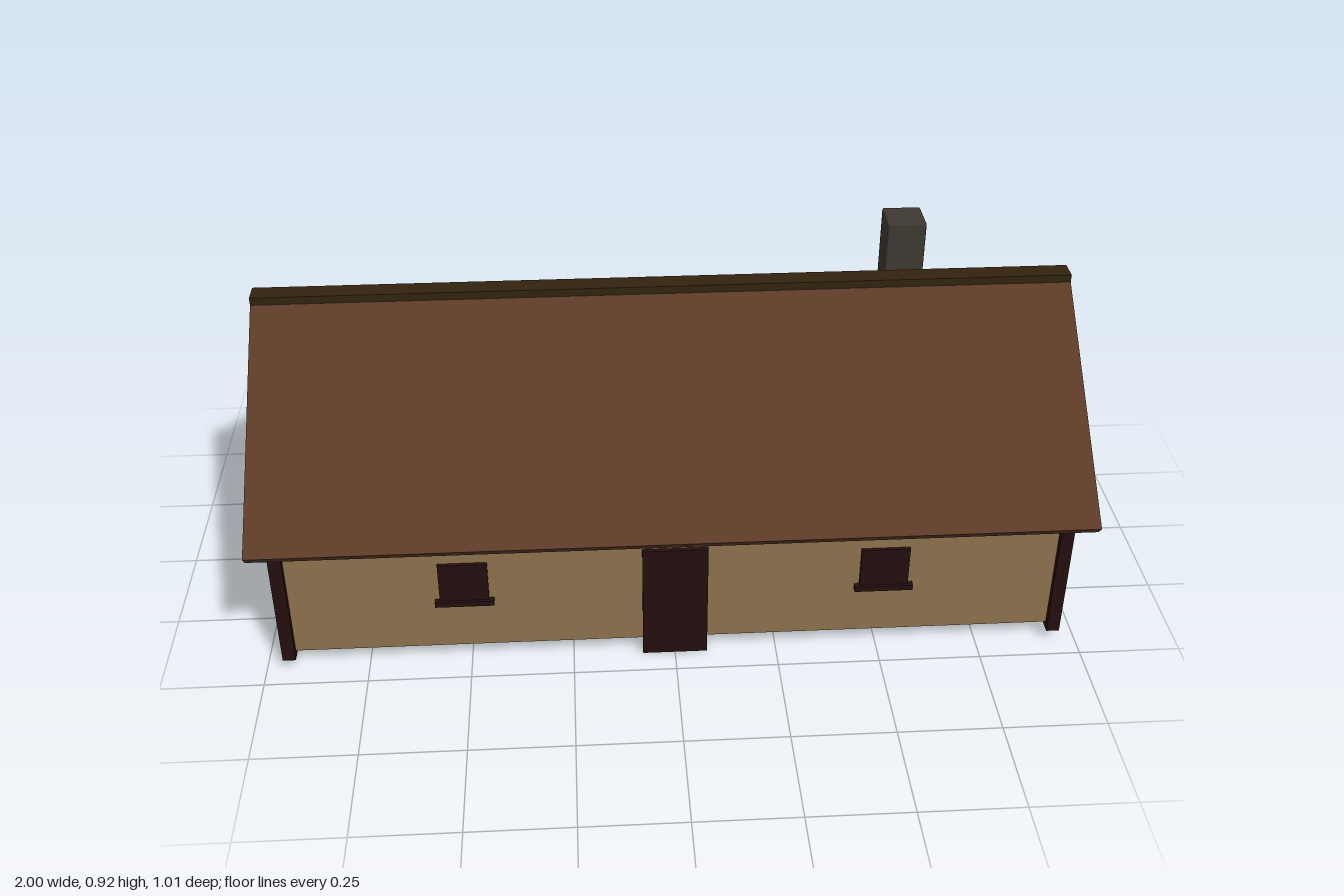
import * as THREE from 'three';
import { RoundedBoxGeometry } from 'three/addons/geometries/RoundedBoxGeometry.js';

const material = (name, color) => {
  const m = new THREE.MeshStandardMaterial({ color });
  m.name = name;
  return m;
};

export function createModel() {
  const house = new THREE.Group();
  house.name = 'house';
  const plaster = material('tan plaster', 0x8d734e);
  const roofing = material('brown roofing', 0x5c3a27);
  const ridgeWood = material('dark ridge wood', 0x32230f);
  const darkWood = material('dark red wood', 0x250e0f);
  const stone = material('grey stone', 0x3e3932);

  const add = (name, geometry, mat, x = 0, y = 0, z = 0) => {
    const mesh = new THREE.Mesh(geometry, mat);
    mesh.name = name;
    mesh.position.set(x, y, z);
    house.add(mesh);
    return mesh;
  };
  // Box given by its lower and upper corners
  const box = (name, mat, [x0, y0, z0], [x1, y1, z1]) =>
    add(name, new THREE.BoxGeometry(x1 - x0, y1 - y0, z1 - z0), mat,
      (x0 + x1) / 2, (y0 + y1) / 2, (z0 + z1) / 2);

  const halfX = 0.944, halfZ = 0.427;

  // Walls and the gabled attic above them
  box('walls', plaster, [-halfX, 0.042, -halfZ], [halfX, 0.362, halfZ]);
  const gable = new THREE.Shape([
    new THREE.Vector2(-halfZ, 0.355),
    new THREE.Vector2(halfZ, 0.355),
    new THREE.Vector2(0, 0.72),
  ]);
  const attic = new THREE.ExtrudeGeometry(gable, { depth: 2 * halfX, bevelEnabled: false });
  attic.translate(0, 0, -halfX).rotateY(Math.PI / 2);
  add('gables', attic, plaster);

  // Corner posts
  for (const sx of [-1, 1]) {
    for (const sz of [-1, 1]) {
      add('cornerPost', new THREE.BoxGeometry(0.032, 0.345, 0.032), darkWood,
        sx * halfX, 0.1975, sz * halfZ);
    }
  }

  // Two sloping roof panels, meeting along their inner edges
  const pitch = Math.atan2(0.406, 0.485), length = Math.hypot(0.406, 0.485), thick = 0.03;
  for (const side of [-1, 1]) {
    const panel = add('roofPanel', new THREE.BoxGeometry(2, thick, length), roofing, 0,
      0.565 + Math.cos(pitch) * thick / 2,
      side * (0.2425 + Math.sin(pitch) * thick / 2));
    panel.rotation.x = side * pitch;
  }
  box('ridgeBeam', ridgeWood, [-1, 0.766, -0.026], [1, 0.805, 0.026]);

  // Chimney with slightly softened edges
  add('chimney', new RoundedBoxGeometry(0.095, 0.415, 0.095, 1, 0.004), stone, 0.6, 0.7075, -0.102);

  // Door, front windows with sills, and the end window
  box('door', darkWood, [-0.079, 0, halfZ], [0.079, 0.315, 0.438]);
  for (const x of [-0.508, 0.508]) {
    box('frontWindow', darkWood, [x - 0.059, 0.18, halfZ], [x + 0.059, 0.293, 0.436]);
    box('windowSill', darkWood, [x - 0.071, 0.173, halfZ], [x + 0.071, 0.187, 0.443]);
  }
  box('endWindow', darkWood, [halfX, 0.188, -0.059], [halfX + 0.009, 0.288, 0.059]);

  return house;
}
